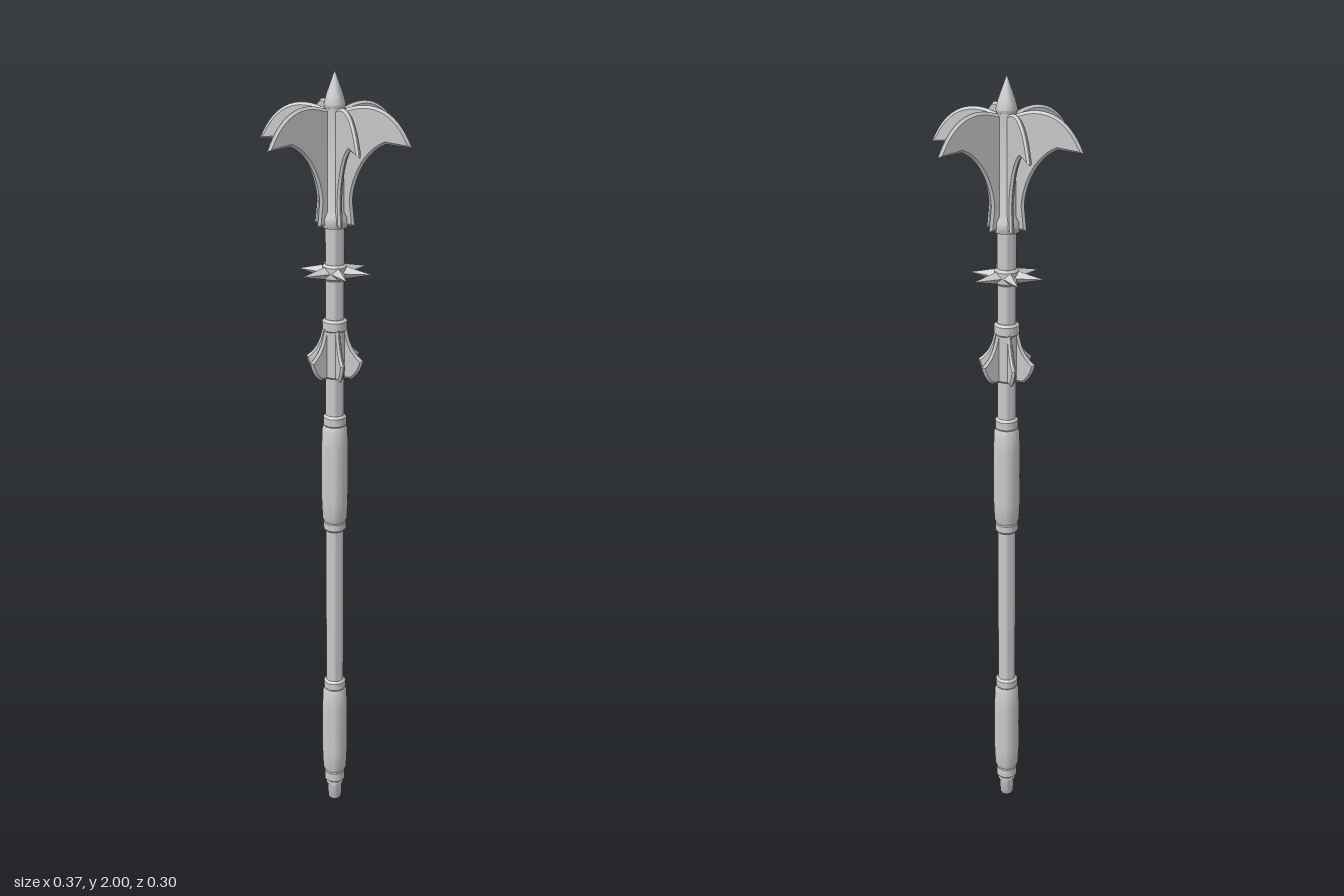
import * as THREE from 'three';
import { toCreasedNormals } from 'three/addons/utils/BufferGeometryUtils.js';

const material = new THREE.MeshStandardMaterial({ color: 0xcccccc });

// Six directions: one pair along x, two pairs at 54 degrees
const ANGLES = [0, 54, 126, 180, 234, 306].map(THREE.MathUtils.degToRad);

function addMesh(parent, name, geometry, crease = 0.6) {
  const mesh = new THREE.Mesh(toCreasedNormals(geometry, crease), material);
  mesh.name = name;
  parent.add(mesh);
  return mesh;
}

// Turned part from [radius, height] pairs listed bottom to top
function turned(parent, name, profile) {
  const points = profile.map(([r, y]) => new THREE.Vector2(r, y));
  return addMesh(parent, name, new THREE.LatheGeometry(points, 24));
}

// Narrow band with chamfered edges
function collar(parent, name, y0, y1, r) {
  const c = 0.006;
  return turned(parent, name, [[0, y0], [r - c, y0], [r, y0 + c], [r, y1 - c], [r - c, y1], [0, y1]]);
}

// Flat blade with a bevelled edge, drawn in the x-y plane
function bladeGeometry(shape) {
  const geometry = new THREE.ExtrudeGeometry(shape, {
    depth: 0.002, bevelThickness: 0.005, bevelSize: 0.006, bevelOffset: -0.006,
    bevelSegments: 1, curveSegments: 14,
  });
  return geometry.translate(0, 0, -0.001);
}

// Copies of a part around the shaft
function ring(parent, name, geometry) {
  const group = new THREE.Group();
  group.name = name + 's';
  for (const angle of ANGLES) addMesh(group, name, geometry, 0.4).rotation.y = angle;
  parent.add(group);
}

export function createModel() {
  const mace = new THREE.Group();
  mace.name = 'mace';

  // Shaft and pommel
  turned(mace, 'shaft', [[0, 0.05], [0.023, 0.05], [0.023, 1.93], [0, 1.93]]);
  turned(mace, 'pommel', [[0, 0], [0.015, 0], [0.018, 0.005], [0.021, 0.062], [0, 0.062]]);
  collar(mace, 'pommelCollar', 0.06, 0.097, 0.028);

  // Two swelling grips with their collars
  for (const [name, y0, y1] of [['lowerGrip', 0.095, 0.36], ['upperGrip', 0.862, 1.128]]) {
    turned(mace, name, [
      [0, y0], [0.028, y0], [0.032, y0 + 0.01], [0.034, y0 + 0.06],
      [0.034, y1 - 0.06], [0.032, y1 - 0.01], [0.028, y1], [0, y1],
    ]);
  }
  collar(mace, 'lowerGripCollar', 0.357, 0.388, 0.029);
  collar(mace, 'upperGripLowerCollar', 0.835, 0.865, 0.029);
  collar(mace, 'upperGripUpperCollar', 1.125, 1.157, 0.029);

  // Small guard flanges
  collar(mace, 'guardCore', 1.255, 1.385, 0.028);
  collar(mace, 'guardCollar', 1.375, 1.408, 0.031);
  const guard = new THREE.Shape();
  guard.moveTo(0.01, 1.385);
  guard.lineTo(0.032, 1.385);
  guard.quadraticCurveTo(0.038, 1.33, 0.074, 1.305);
  guard.quadraticCurveTo(0.066, 1.27, 0.044, 1.255);
  guard.lineTo(0.01, 1.255);
  ring(mace, 'guardFlange', bladeGeometry(guard));

  // Star of spikes
  collar(mace, 'spikeCollar', 1.505, 1.545, 0.03);
  const spike = new THREE.ConeGeometry(0.017, 0.073, 4);
  spike.rotateZ(-Math.PI / 2).translate(0.0585, 1.525, 0);
  ring(mace, 'spike', spike);

  // Head core and pointed finial
  turned(mace, 'headCore', [
    [0, 1.635], [0.03, 1.635], [0.034, 1.645], [0.034, 1.66], [0.026, 1.675],
    [0.025, 1.915], [0, 1.915],
  ]);
  turned(mace, 'finial', [[0, 1.91], [0.022, 1.91], [0.026, 1.922], [0.02, 1.945], [0, 2]]);

  // Large head flanges
  const flange = new THREE.Shape();
  flange.moveTo(0.01, 1.91);
  flange.lineTo(0.03, 1.915);
  flange.bezierCurveTo(0.1, 1.94, 0.155, 1.91, 0.187, 1.833);
  flange.lineTo(0.125, 1.838);
  flange.bezierCurveTo(0.07, 1.815, 0.045, 1.74, 0.044, 1.7);
  flange.lineTo(0.05, 1.64);
  flange.lineTo(0.01, 1.64);
  ring(mace, 'headFlange', bladeGeometry(flange));

  return mace;
}
